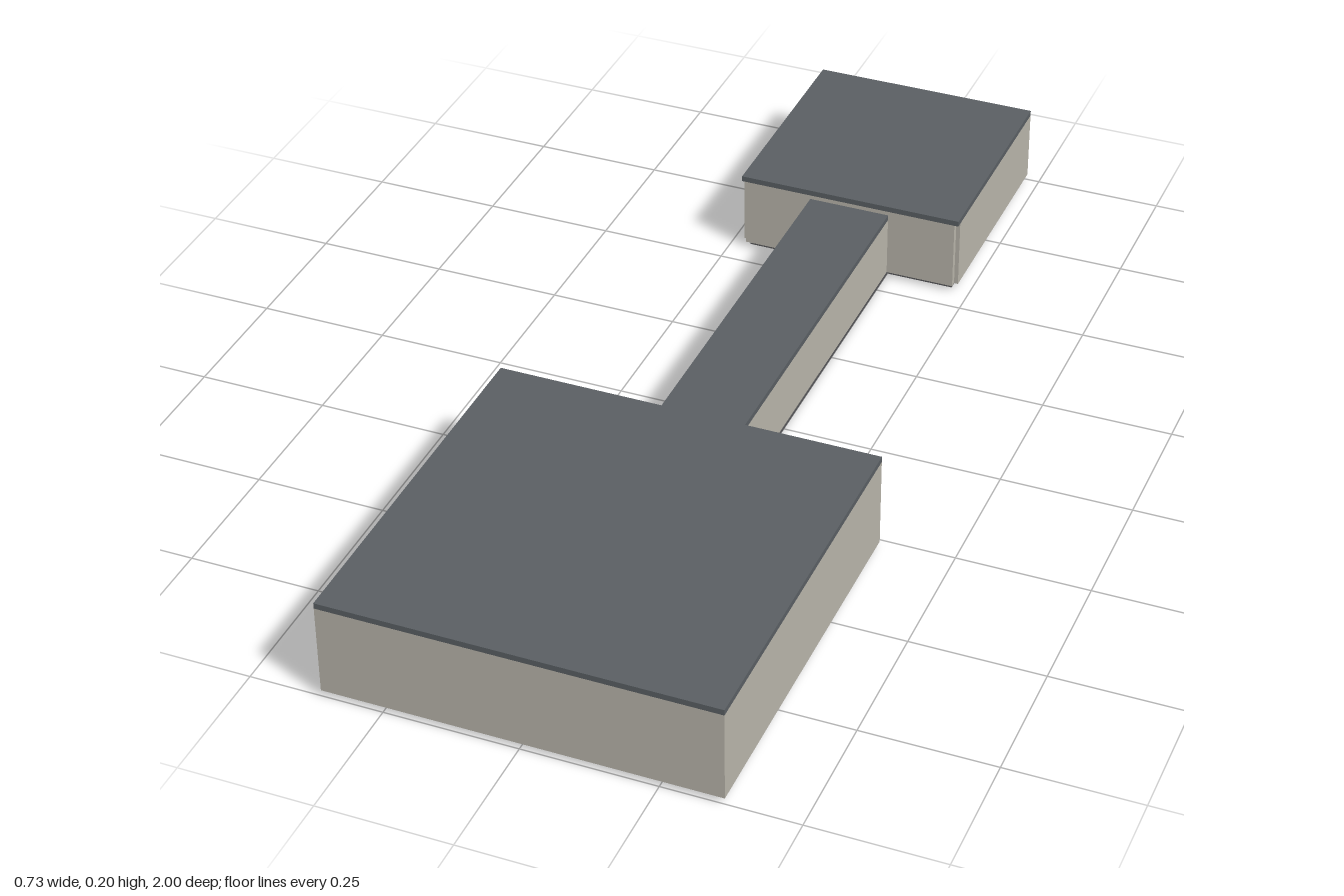
import * as THREE from 'three';

export function createModel() {
  const model = new THREE.Group();
  model.name = 'linkedPavilions';

  const wall = new THREE.MeshStandardMaterial({ color: 0xb8b4aa });
  wall.name = 'warm grey wall';
  const roof = new THREE.MeshStandardMaterial({ color: 0x5a5f63 });
  roof.name = 'slate roof';
  const base = new THREE.MeshStandardMaterial({ color: 0x58595b });
  base.name = 'dark plinth';

  // Box centred on x, given its half width and its y and z ranges
  function slab(name, halfX, y0, y1, z0, z1, material) {
    const mesh = new THREE.Mesh(new THREE.BoxGeometry(halfX * 2, y1 - y0, z1 - z0), material);
    mesh.position.set(0, (y0 + y1) / 2, (z0 + z1) / 2);
    mesh.name = name;
    model.add(mesh);
  }

  const floorY = 0.012;
  const roofDepth = 0.011;
  const inset = 0.013;

  // Large front hall
  slab('hallPlinth', 0.365 - inset, 0, floorY, 0.27 + inset, 1 - inset, base);
  slab('hallWalls', 0.365, floorY, 0.198 - roofDepth, 0.27, 1, wall);
  slab('hallRoof', 0.365, 0.198 - roofDepth, 0.198, 0.27, 1, roof);

  // Narrow connecting corridor
  slab('corridorPlinth', 0.079, 0, floorY, -0.56 - inset, 0.27 + inset, base);
  slab('corridorWalls', 0.081, floorY, 0.144 - roofDepth, -0.55, 0.27, wall);
  slab('corridorRoof', 0.081, 0.144 - roofDepth, 0.144, -0.55, 0.27, roof);

  // Small rear room with a slightly narrower wall panel facing the corridor
  slab('roomPlinth', 0.225 - inset, 0, floorY, -1 + inset, -0.55 - inset, base);
  slab('roomWalls', 0.225, floorY, 0.163 - roofDepth, -1, -0.562, wall);
  slab('roomFrontPanel', 0.217, floorY, 0.163 - roofDepth, -0.562, -0.55, wall);
  slab('roomRoof', 0.225, 0.163 - roofDepth, 0.163, -1, -0.55, roof);

  return model;
}
